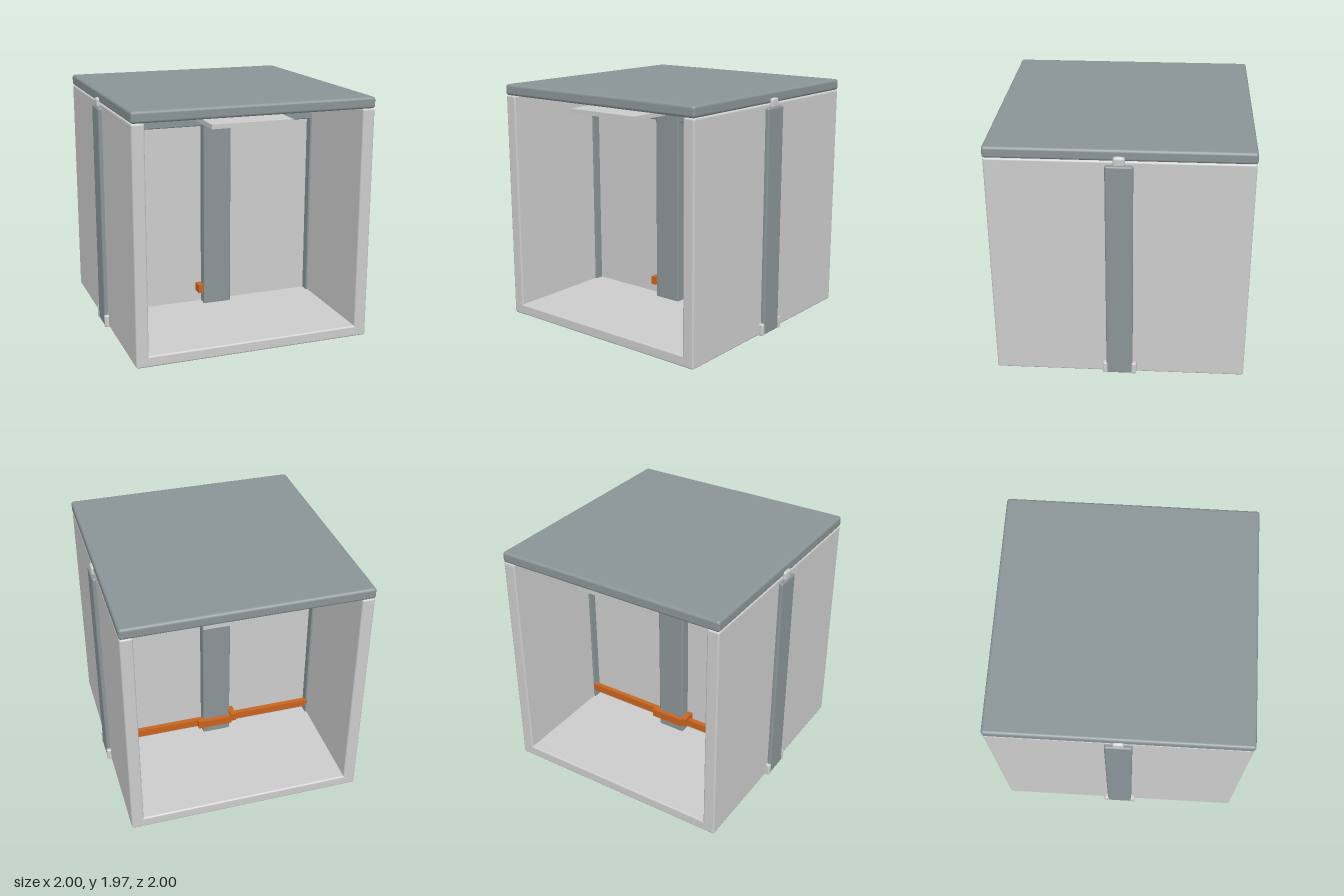
import * as THREE from 'three';
import { RoundedBoxGeometry } from 'three/addons/geometries/RoundedBoxGeometry.js';

const mat = (name, color) => Object.assign(new THREE.MeshStandardMaterial({ color }), { name });

export function createModel() {
  const light = mat('light grey', 0xcccccc);
  const grey = mat('slate grey', 0x8a9496);
  const orange = mat('orange', 0xc8641e);
  const model = new THREE.Group();
  model.name = 'openCube';

  // Box given by its min and max on each axis, with optional rounded edges
  function box(name, material, [x0, x1], [y0, y1], [z0, z1], radius = 0) {
    const size = [x1 - x0, y1 - y0, z1 - z0];
    const geometry = radius ? new RoundedBoxGeometry(...size, 2, radius) : new THREE.BoxGeometry(...size);
    const mesh = new THREE.Mesh(geometry, material);
    mesh.name = name;
    mesh.position.set((x0 + x1) / 2, (y0 + y1) / 2, (z0 + z1) / 2);
    model.add(mesh);
    return mesh;
  }
  // The same box on the left (+x) and mirrored on the right
  function pair(name, material, [x0, x1], y, z, radius) {
    box(name + 'Left', material, [x0, x1], y, z, radius);
    box(name + 'Right', material, [-x1, -x0], y, z, radius);
  }

  // Shell: floor, side walls and lid, open at front and back
  box('floor', light, [-0.965, 0.965], [0.01, 0.1], [-0.995, 0.995], 0.015);
  pair('sideWall', light, [0.865, 0.965], [0.01, 1.88], [-0.995, 0.995], 0.015);
  box('lid', grey, [-0.968, 0.968], [1.88, 1.97], [-1, 1], 0.022);

  // Outer strap on each side, with foot brackets and a top knob
  pair('outerStrap', grey, [0.95, 0.996], [0.01, 1.85], [-0.105, 0.105], 0.015);
  for (const z of [-0.115, 0.115]) {
    pair('footBracket', light, [0.95, 1], [0.01, 0.11], [z - 0.02, z + 0.02], 0.012);
  }
  pair('topKnob', light, [0.94, 0.99], [1.84, 1.92], [-0.045, 0.045], 0.02);

  // Central divider: thin panel in a thicker frame
  box('dividerPanel', light, [-0.87, 0.87], [0.09, 1.85], [-0.03, 0.03]);
  box('centrePost', grey, [-0.12, 0.12], [0.09, 1.89], [-0.115, 0.115], 0.012);
  box('topRail', grey, [-0.87, 0.87], [1.65, 1.855], [-0.1, 0.1], 0.01);
  pair('sidePost', grey, [0.85, 0.88], [0.09, 1.85], [-0.1, 0.1], 0.005);

  // Shelf plates hung beneath the lid, front and back
  box('frontPlate', light, [-0.33, 0.33], [1.785, 1.82], [0.17, 0.9]);
  box('backPlate', light, [-0.33, 0.33], [1.785, 1.82], [-0.9, -0.17]);

  // Small strips on the back of the divider
  box('upperStrip', light, [-0.36, 0.36], [1.58, 1.61], [-0.14, -0.03]);
  box('lowerStrip', light, [-0.36, 0.36], [1.46, 1.49], [-0.08, -0.03]);

  // Locking bar across the back, clamped around the post
  box('lockBar', orange, [-0.865, 0.865], [0.17, 0.235], [-0.1, -0.06]);
  box('postClamp', orange, [-0.13, 0.17], [0.18, 0.25], [-0.15, -0.1]);
  box('clampArm', orange, [-0.17, -0.125], [0.2, 0.27], [-0.15, 0.12]);

  // Paired rubber pads under the floor
  for (const x of [-0.92, 0, 0.92]) {
    for (const z of [-0.025, 0.025]) {
      box('footPad', light, [x - 0.04, x + 0.04], [0, 0.015], [z - 0.015, z + 0.015]);
    }
  }
  return model;
}
